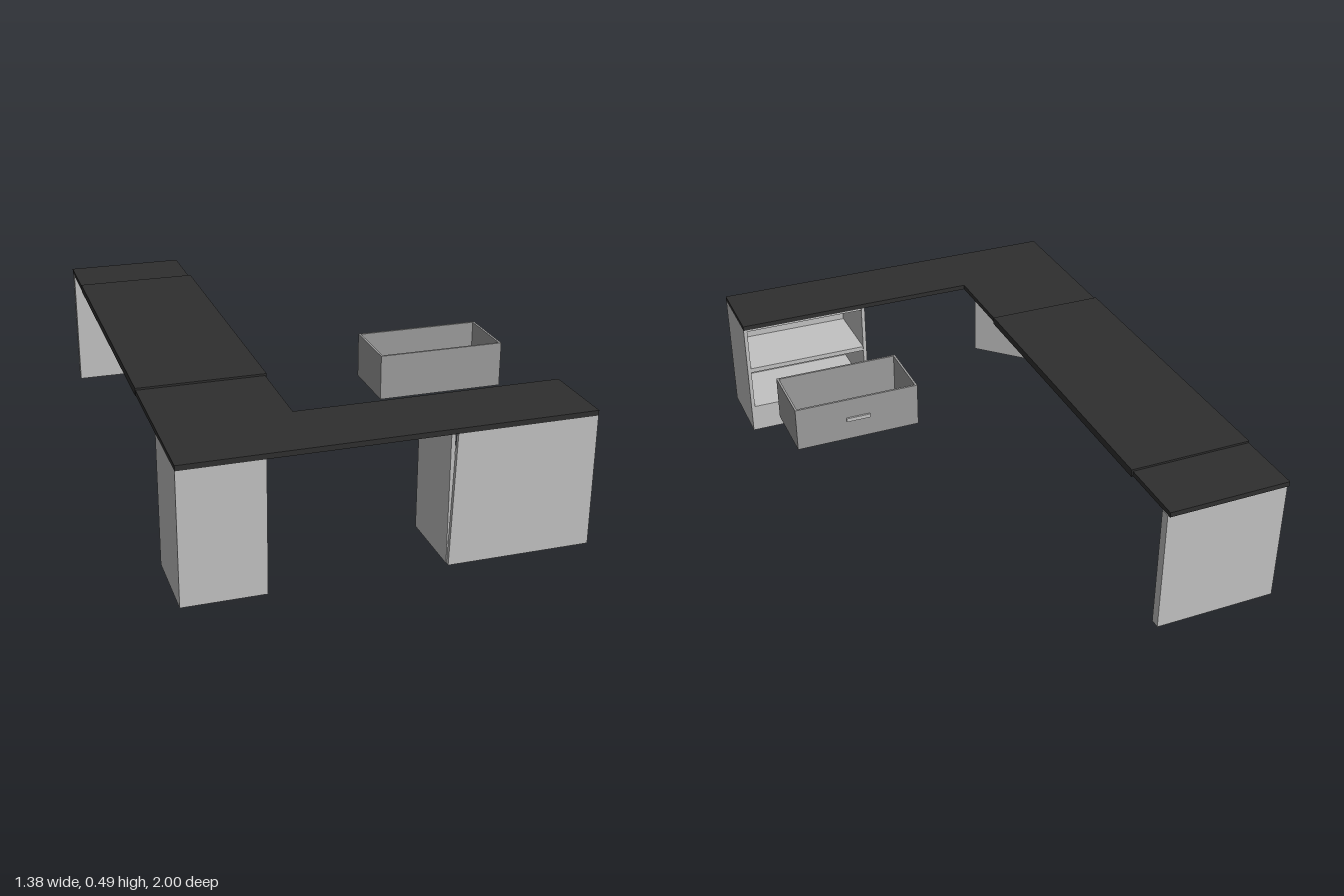
import * as THREE from 'three';

export function createModel() {
  const desk = new THREE.Group();
  desk.name = 'cornerDesk';

  const mat = (name, color, side = THREE.FrontSide) => {
    const m = new THREE.MeshStandardMaterial({ color, side });
    m.name = name;
    return m;
  };
  const black = mat('blackTop', 0x2f2f2f);
  const grey = mat('lightGreyBody', 0xc2c2c2, THREE.DoubleSide);
  const drawerGrey = mat('midGreyDrawer', 0x9c9c9c);

  const add = (parent, name, geometry, material) => {
    const mesh = new THREE.Mesh(geometry, material);
    mesh.name = name;
    parent.add(mesh);
    return mesh;
  };
  // Box given by its minimum and maximum on each axis
  const box = (parent, name, material, [x0, x1], [y0, y1], [z0, z1]) =>
    add(parent, name, new THREE.BoxGeometry(x1 - x0, y1 - y0, z1 - z0), material)
      .position.set((x0 + x1) / 2, (y0 + y1) / 2, (z0 + z1) / 2);
  const group = (name) => {
    const g = new THREE.Group();
    g.name = name;
    desk.add(g);
    return g;
  };
  const polygon = (points) => new THREE.Shape(points.map(([x, y]) => new THREE.Vector2(x, y)));

  const H = 0.462; // underside of the desktop

  // L-shaped desktop, drawn in (x, -z) and laid flat
  const top = new THREE.ExtrudeGeometry(
    polygon([[-0.69, -1], [0.69, -1], [0.69, -0.72], [-0.245, -0.72], [-0.245, 1], [-0.69, 1]]),
    { depth: 0.018, bevelEnabled: false });
  top.rotateX(-Math.PI / 2).translate(0, H, 0);
  add(desk, 'desktop', top, black);

  // Slightly raised work panel on the long arm
  box(desk, 'raisedPanel', black, [-0.691, -0.24], [0.459, 0.487], [-0.75, 0.4]);

  // Slab leg at the back end
  box(desk, 'backLeg', grey, [-0.69, -0.242], [0, H], [-0.99, -0.955]);

  // Hollow triangular corner leg: three upright sheets, open below
  const corners = [[-0.69, 0.999], [-0.41, 0.999], [-0.69, 0.72]];
  const positions = [];
  corners.forEach(([ax, az], i) => {
    const [bx, bz] = corners[(i + 1) % 3];
    positions.push(ax, 0, az, bx, 0, bz, bx, H, bz, ax, 0, az, bx, H, bz, ax, H, az);
  });
  const leg = new THREE.BufferGeometry();
  leg.setAttribute('position', new THREE.Float32BufferAttribute(positions, 3));
  leg.computeVertexNormals();
  add(desk, 'cornerLeg', leg, grey);

  // Cabinet, open at the back and below
  const cabinet = group('cabinet');
  const T = 0.014;
  const insideX = [0.19 + T, 0.69 - T];
  box(cabinet, 'leftSide', grey, [0.69 - T, 0.69], [0, H], [0.72, 0.999]);
  box(cabinet, 'rightSide', grey, [0.19, 0.19 + T], [0, H], [0.72, 0.985]);
  box(cabinet, 'topBoard', grey, insideX, [H - 0.008, H - 0.001], [0.722, 0.985]);
  box(cabinet, 'drawerShelf', grey, insideX, [0.268, 0.286], [0.722, 0.985]);
  box(cabinet, 'floorBoard', grey, insideX, [0.095, 0.11], [0.722, 0.985]);
  box(cabinet, 'kickBoard', grey, insideX, [0, 0.11], [0.72, 0.72 + T]);
  // Front panel with one slightly slanted edge
  const front = new THREE.ExtrudeGeometry(
    polygon([[0.192, 0], [0.69 - T, 0], [0.69 - T, H], [0.207, H]]),
    { depth: T, bevelEnabled: false });
  front.translate(0, 0, 0.985);
  add(cabinet, 'frontPanel', front, grey);

  // Drawer pulled clear of the cabinet
  const drawer = group('drawer');
  const W = 0.008, X = [0.208, 0.672], Y = [0.3, 0.465], Z = [0.066, 0.31];
  box(drawer, 'drawerBase', drawerGrey, X, [Y[0], Y[0] + W], Z);
  box(drawer, 'drawerFace', drawerGrey, X, [Y[0] + W, Y[1]], [Z[0], Z[0] + W]);
  box(drawer, 'drawerRear', drawerGrey, X, [Y[0] + W, Y[1]], [Z[1] - W, Z[1]]);
  for (const x of [X[0], X[1] - W])
    box(drawer, 'drawerSide', drawerGrey, [x, x + W], [Y[0] + W, Y[1]], [Z[0] + W, Z[1] - W]);
  box(drawer, 'drawerHandle', grey, [0.395, 0.485], [0.376, 0.39], [0.059, Z[0]]);

  return desk;
}
